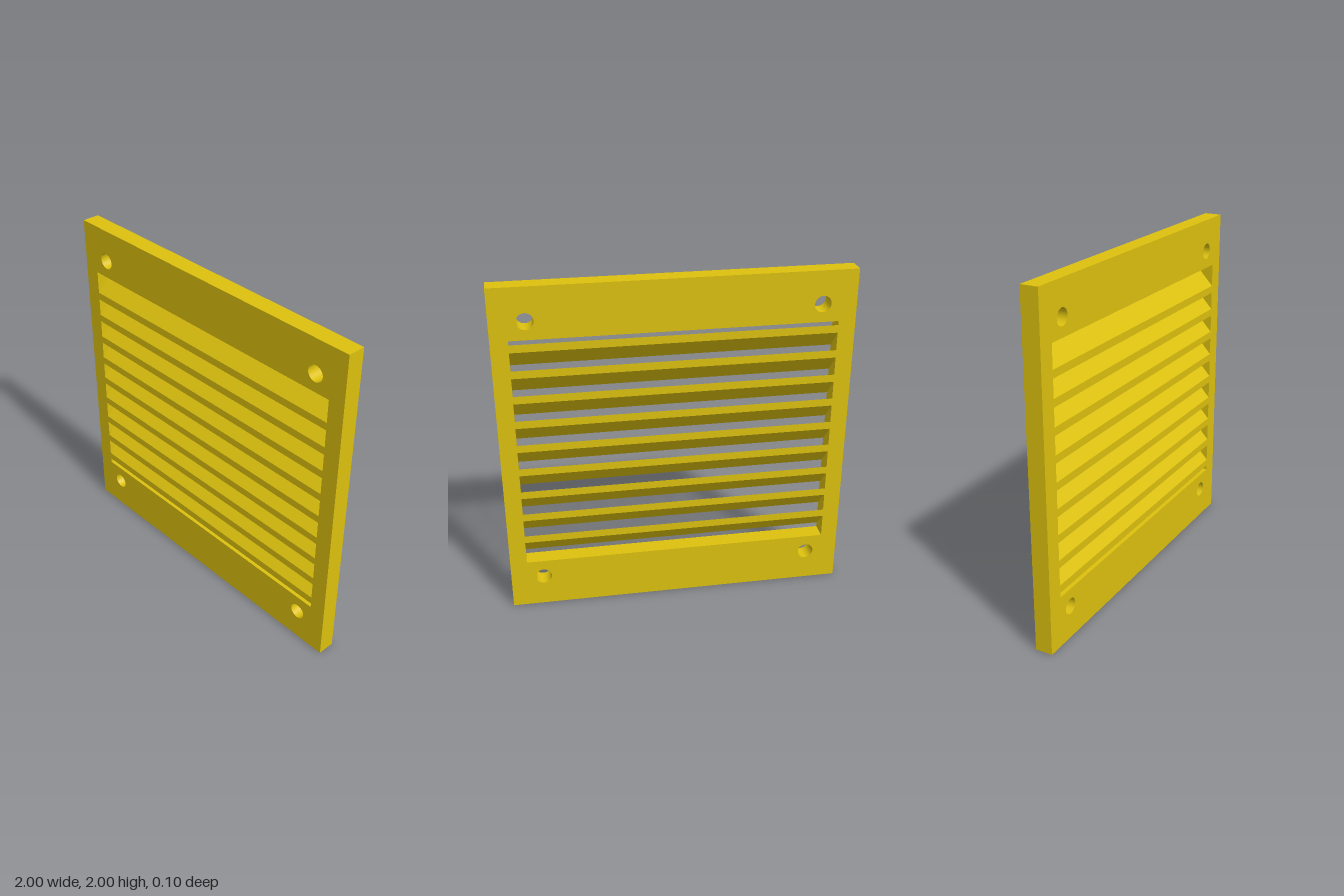
import * as THREE from 'three';

const DEPTH = 0.102;      // plate thickness
const HALF_OPEN = 0.903;  // half width of the louvre opening
const SLATS = 9;
const PITCH = 0.1497;

export function createModel() {
  const group = new THREE.Group();
  group.name = 'louvredVent';
  const yellow = new THREE.MeshStandardMaterial({ color: 0xdcc00e });
  yellow.name = 'mustard yellow';

  // Square frame with the louvre opening and four screw holes
  const outline = new THREE.Shape([
    new THREE.Vector2(-1, 0), new THREE.Vector2(1, 0),
    new THREE.Vector2(1, 2), new THREE.Vector2(-1, 2),
  ]);
  outline.holes.push(new THREE.Path([
    new THREE.Vector2(-HALF_OPEN, 0.3), new THREE.Vector2(-HALF_OPEN, 1.705),
    new THREE.Vector2(HALF_OPEN, 1.705), new THREE.Vector2(HALF_OPEN, 0.3),
  ]));
  for (const x of [-0.808, 0.808]) {
    for (const y of [0.193, 1.809]) {
      outline.holes.push(new THREE.Path().absarc(x, y, 0.047, 0, Math.PI * 2, true));
    }
  }
  const frameGeometry = new THREE.ExtrudeGeometry(outline, { depth: DEPTH, bevelEnabled: false, curveSegments: 16 });
  frameGeometry.translate(0, 0, -DEPTH / 2);
  const frame = new THREE.Mesh(frameGeometry, yellow);
  frame.name = 'frame';
  group.add(frame);

  // Slat section: a parallelogram falling from back to front, flush with both faces
  const h = DEPTH / 2, thick = 0.045, drop = 0.111;
  const section = new THREE.Shape([
    new THREE.Vector2(h, -thick), new THREE.Vector2(h, 0),
    new THREE.Vector2(-h, drop), new THREE.Vector2(-h, drop - thick),
  ]);
  const slatGeometry = new THREE.ExtrudeGeometry(section, { depth: HALF_OPEN * 2, bevelEnabled: false });
  slatGeometry.translate(0, 0, -HALF_OPEN);
  slatGeometry.rotateY(-Math.PI / 2);

  const louvres = new THREE.Group();
  louvres.name = 'louvres';
  for (let i = 0; i < SLATS; i++) {
    const slat = new THREE.Mesh(slatGeometry, yellow);
    slat.name = `slat${i + 1}`;
    slat.position.y = 0.373 + i * PITCH;
    louvres.add(slat);
  }
  group.add(louvres);
  return group;
}
